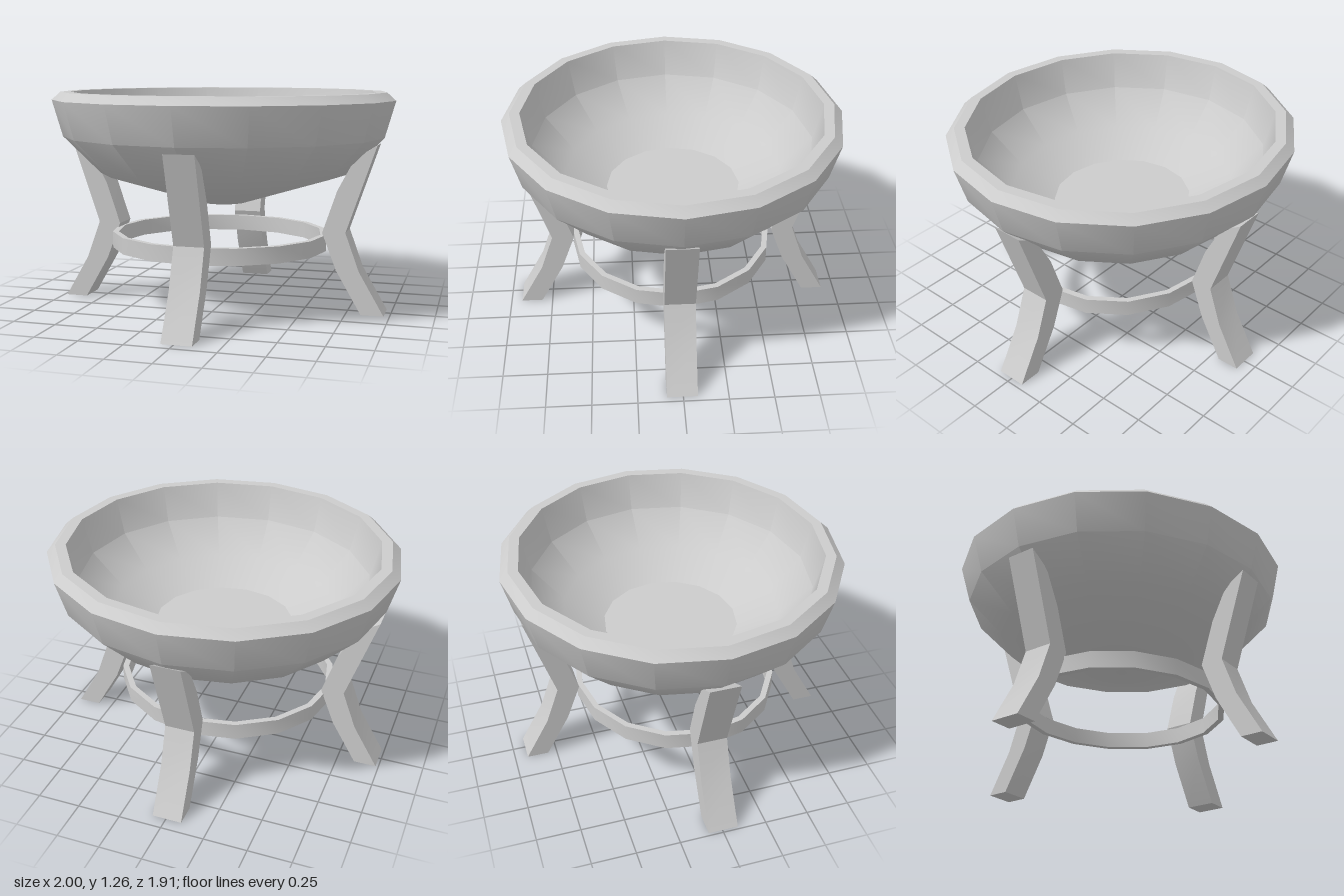
import * as THREE from 'three';
import { toCreasedNormals } from 'three/addons/utils/BufferGeometryUtils.js';

const SIDES = 16;
const DEPTH = 0.955; // everything round is slightly narrower front to back

export function createModel() {
  const model = new THREE.Group();
  const material = new THREE.MeshStandardMaterial({ color: 0xcccccc });

  function add(name, geometry, parent = model) {
    const mesh = new THREE.Mesh(geometry, material);
    mesh.name = name;
    parent.add(mesh);
    return mesh;
  }

  function lathe(profile) {
    const points = profile.map(([r, y]) => new THREE.Vector2(r, y));
    return toCreasedNormals(new THREE.LatheGeometry(points, SIDES), 0.56);
  }

  // Thick bowl: outside up to the bevelled rim, then down the inside
  const bowl = new THREE.Group();
  bowl.name = 'bowl';
  bowl.scale.z = DEPTH;
  model.add(bowl);
  add('bowlShell', lathe([
    [0, 0.61], [0.135, 0.61], [0.725, 0.79], [0.94, 1.005], [1, 1.215],
    [0.95, 1.26], [0.89, 1.26],
    [0.835, 1.05], [0.65, 0.86], [0.405, 0.76],
  ]), bowl);

  // Flat floor inside the bowl
  const floor = new THREE.CircleGeometry(0.405, SIDES).rotateX(-Math.PI / 2);
  add('bowlFloor', floor, bowl).position.y = 0.76;

  // Thin hoop joining the legs
  const hoop = add('hoop', lathe([
    [0.605, 0.345], [0.64, 0.345], [0.64, 0.44], [0.605, 0.44], [0.605, 0.345],
  ]));
  hoop.scale.z = 0.925;
  hoop.position.set(-0.02, 0, 0.01);

  // Bent leg: side outline (distance from centre, height) given a width
  const outline = [
    [0.845, 0], [0.975, 0], [0.83, 0.25], [0.75, 0.47], [0.92, 0.97],
    [0.80, 0.90], [0.70, 0.71], [0.617, 0.465], [0.70, 0.25],
  ];
  const width = 0.17;
  const legShape = new THREE.Shape(outline.map(([r, y]) => new THREE.Vector2(r, y)));
  const legGeometry = toCreasedNormals(
    new THREE.ExtrudeGeometry(legShape, { depth: width, bevelEnabled: false })
      .translate(0, 0, -width / 2), 0.45);

  // Each leg: name, turn about the centre, small offset, reach
  const legs = [
    ['leftLeg', 0, -0.008, 0.005, 1],
    ['backLeg', 1, -0.005, 0.005, DEPTH],
    ['rightLeg', 2, -0.008, 0.005, 1],
    ['frontLeg', 3, 0.015, 0.005, DEPTH],
  ];
  for (const [name, quarter, x, z, reach] of legs) {
    const leg = add(name, legGeometry);
    leg.rotation.y = quarter * Math.PI / 2;
    leg.position.set(x, 0, z);
    leg.scale.x = reach;
  }

  return model;
}
